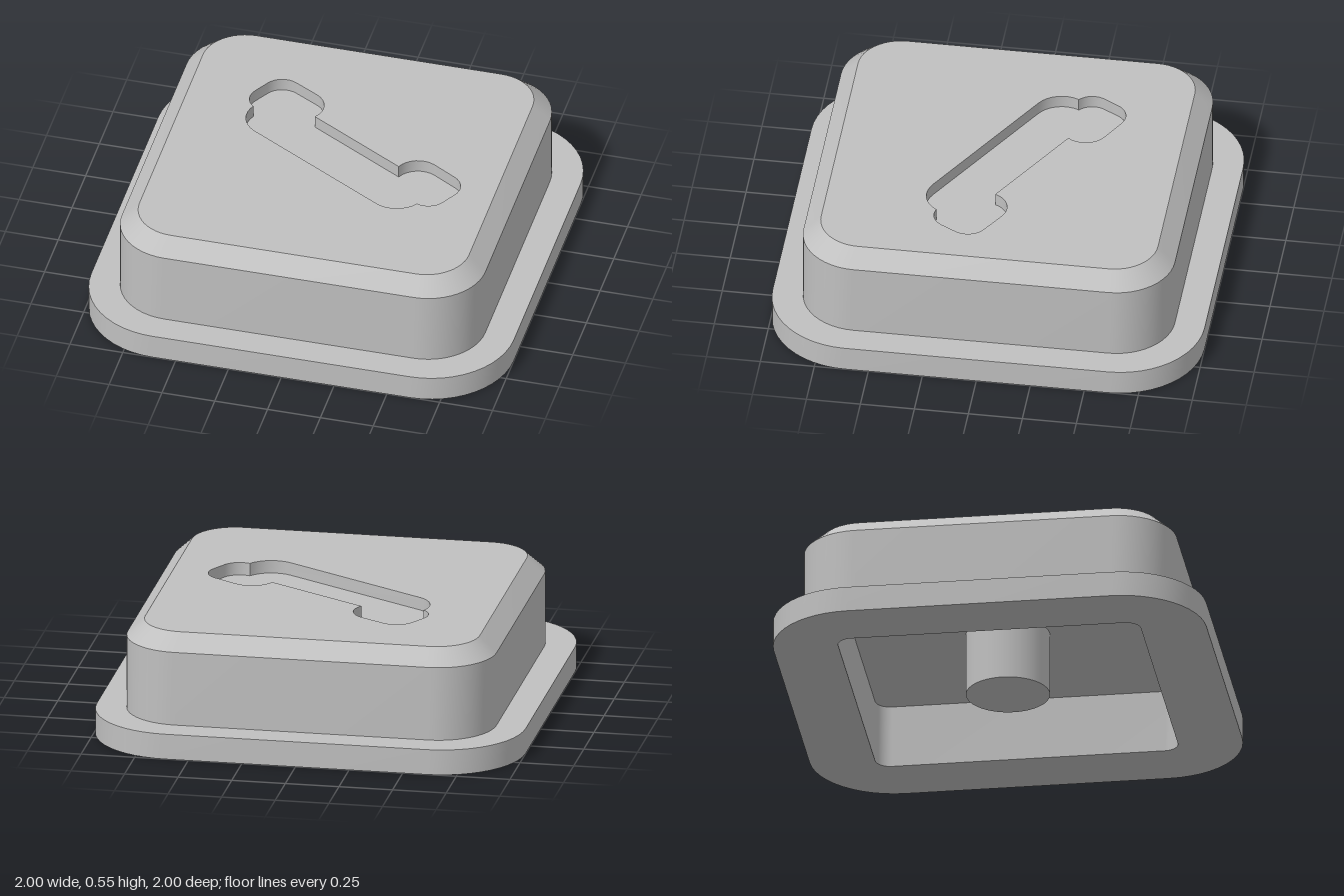
import * as THREE from 'three';
import { mergeGeometries, toCreasedNormals } from 'three/addons/utils/BufferGeometryUtils.js';

const rad = THREE.MathUtils.degToRad;

// Counter-clockwise rounded square outline (plan view, plan y = -z)
function roundedSquare(half, r, steps = 12) {
  const pts = [], c = half - r;
  [[c, c], [-c, c], [-c, -c], [c, -c]].forEach(([x, y], k) => {
    for (let i = 0; i <= steps; i++) {
      const a = (k + i / steps) * Math.PI / 2;
      pts.push(new THREE.Vector2(x + r * Math.cos(a), y + r * Math.sin(a)));
    }
  });
  return pts;
}

// Handset-shaped outline: half of it from arcs, mirrored, then tilted 30 degrees
function handsetOutline() {
  const arcs = [ // centre u, centre v, radius, start, end
    [0.377, -0.016, 0.1085, 171.6, 270],
    [0.508, -0.029, 0.0935, 270, 360],
    [0.513, 0.053, 0.0888, 0, 83],
    [0.39, 0.134, 0.136, 3, 90],
  ];
  const half = [];
  for (const [u, v, r, a0, a1] of arcs) {
    for (let i = 0; i <= 8; i++) {
      const a = rad(a0 + (a1 - a0) * i / 8);
      half.push([u + r * Math.cos(a), v + r * Math.sin(a)]);
    }
  }
  const all = [...half, ...half.map(([u, v]) => [-u, v]).reverse()];
  const c = Math.cos(rad(30)), s = Math.sin(rad(30));
  const pts = all.map(([u, v]) => new THREE.Vector2(0.067 + c * u - s * v, 0.12 - s * u - c * v));
  return THREE.ShapeUtils.isClockWise(pts) ? pts.reverse() : pts;
}

// Closed band from loop a to loop b; faces outward when b is above a, inward when below
function wall(a, ya, b, yb) {
  const n = a.length, pos = [], index = [];
  a.forEach((p, i) => pos.push(p.x, ya, -p.y, b[i].x, yb, -b[i].y));
  for (let i = 0; i < n; i++) {
    const p = 2 * i, q = 2 * ((i + 1) % n);
    index.push(p, q, q + 1, p, q + 1, p + 1);
  }
  const g = new THREE.BufferGeometry();
  g.setAttribute('position', new THREE.Float32BufferAttribute(pos, 3));
  g.setIndex(index);
  return toCreasedNormals(g, rad(30));
}

// Flat horizontal face, with an optional hole
function face(outline, y, hole, down = false) {
  const shape = new THREE.Shape(outline);
  if (hole) shape.holes.push(new THREE.Path(hole));
  const g = new THREE.ShapeGeometry(shape).toNonIndexed();
  g.deleteAttribute('uv');
  return g.rotateX(down ? Math.PI / 2 : -Math.PI / 2).translate(0, y, 0);
}

export function createModel() {
  const model = new THREE.Group();
  const grey = new THREE.MeshStandardMaterial({ color: 0xc0c0c0 });
  grey.name = 'grey';
  const add = (name, ...parts) => {
    const mesh = new THREE.Mesh(parts.length > 1 ? mergeGeometries(parts) : parts[0], grey);
    mesh.name = name;
    model.add(mesh);
    return mesh;
  };

  const flange = roundedSquare(1, 0.39);
  const body = roundedSquare(0.86, 0.27);
  const top = roundedSquare(0.78, 0.2);
  const cavity = roundedSquare(0.7, 0.07);
  const handset = handsetOutline();
  const flangeY = 0.12, shoulderY = 0.47, topY = 0.545, floorY = 0.485, ceilingY = 0.3;

  add('flange',
    wall(flange, 0, flange, flangeY),
    face(flange, flangeY, body),
    face(flange, 0, cavity, true));
  add('bodyWall', wall(body, flangeY, body, shoulderY));
  add('chamfer', wall(body, shoulderY, top, topY));
  add('topFace', face(top, topY, handset));
  add('handsetRecess', wall(handset, topY, handset, floorY), face(handset, floorY));
  add('undersideCavity', wall(cavity, ceilingY, cavity, 0), face(cavity, ceilingY, null, true));

  // Central post under the cap
  const post = add('post', new THREE.CylinderGeometry(0.193, 0.193, ceilingY, 48));
  post.position.y = ceilingY / 2;

  return model;
}
